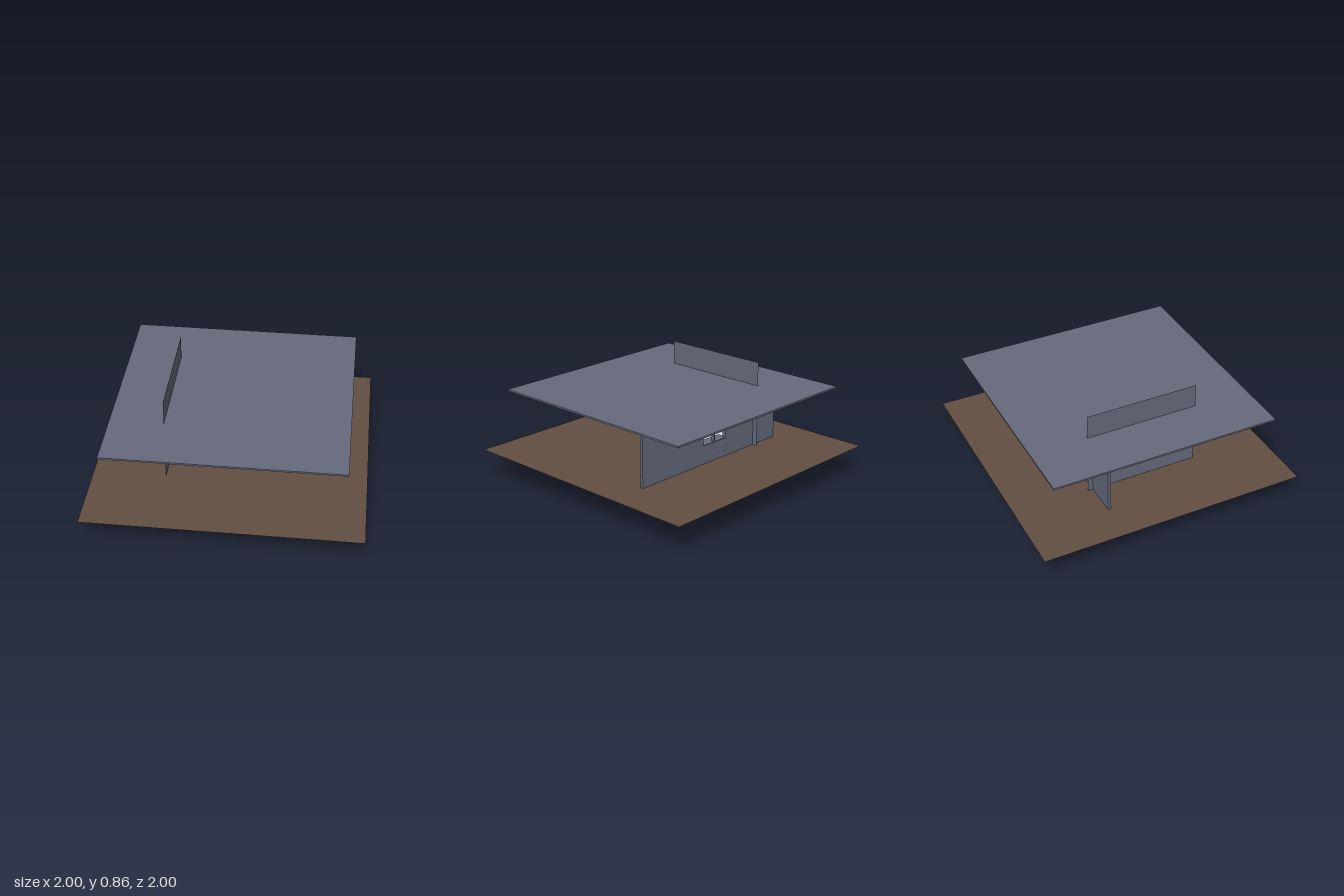
import * as THREE from 'three';
import { RoundedBoxGeometry } from 'three/addons/geometries/RoundedBoxGeometry.js';

const mat = (name, color, side = THREE.FrontSide) =>
  Object.assign(new THREE.MeshStandardMaterial({ color, side }), { name });

export function createModel() {
  const wall = mat('slate wall', 0x666a7c, THREE.DoubleSide);
  const ground = mat('floor brown', 0x624f42, THREE.DoubleSide);
  const wood = mat('wood', 0x6b4f3c);
  const linen = mat('linen', 0xd5dbe0);
  const blanketGrey = mat('blanket grey', 0x8a90a0);
  const white = mat('window white', 0xffffff);
  const skin = mat('skin', 0x6a4a36);
  const hairBrown = mat('hair', 0x46362b);
  const jacket = mat('jacket brown', 0x544236);

  const model = new THREE.Group();
  model.name = 'bedroom';

  const add = (parent, name, geometry, material, x = 0, y = 0, z = 0) => {
    const mesh = new THREE.Mesh(geometry, material);
    mesh.name = name;
    mesh.position.set(x, y, z);
    parent.add(mesh);
    return mesh;
  };
  // Box given by its limits, optionally with rounded edges
  const box = (parent, name, material, [x0, x1], [y0, y1], [z0, z1], radius = 0) => {
    const s = [x1 - x0, y1 - y0, z1 - z0];
    const geometry = radius ? new RoundedBoxGeometry(...s, 3, radius) : new THREE.BoxGeometry(...s);
    return add(parent, name, geometry, material, (x0 + x1) / 2, (y0 + y1) / 2, (z0 + z1) / 2);
  };
  const group = (name) => {
    const g = new THREE.Group();
    g.name = name;
    model.add(g);
    return g;
  };

  // Room shell
  add(model, 'floor', new THREE.PlaneGeometry(2, 2), ground, 0, 0.203, 0).rotation.x = -Math.PI / 2;
  box(model, 'ceiling', wall, [-0.857, 0.857], [0.663, 0.676], [-0.857, 0.857]);
  add(model, 'sideWall', new THREE.PlaneGeometry(0.857, 0.857), wall, -0.465, 0.4285, 0)
    .rotation.y = Math.PI / 2;

  // Back wall with a window opening
  const outline = new THREE.Shape();
  outline.moveTo(-0.713, 0.203).lineTo(0.713, 0.203).lineTo(0.713, 0.663).lineTo(-0.713, 0.663);
  const opening = new THREE.Path();
  opening.moveTo(-0.152, 0.342).lineTo(-0.152, 0.557).lineTo(0.09, 0.557).lineTo(0.09, 0.342);
  outline.holes.push(opening);
  const backWall = new THREE.ExtrudeGeometry(outline, { depth: 0.021, bevelEnabled: false });
  add(model, 'backWall', backWall, wall, 0, 0, -0.39);

  // Window
  const win = group('window');
  for (const [a, b] of [[-0.162, -0.15], [-0.035, -0.027], [0.088, 0.098]])
    box(win, 'upright', wall, [a, b], [0.337, 0.567], [-0.388, -0.361]);
  for (const [a, b] of [[0.337, 0.345], [0.449, 0.457], [0.556, 0.567]])
    box(win, 'crossbar', wall, [-0.162, 0.098], [a, b], [-0.387, -0.362]);
  box(win, 'sill', wall, [-0.168, 0.11], [0.334, 0.343], [-0.372, -0.303]);
  add(win, 'pane', new THREE.PlaneGeometry(0.242, 0.215), white, -0.031, 0.45, -0.38);

  // Thin streaks outside the window
  const streaks = group('rainStreaks');
  const spots = [[-0.07, 0.33], [-0.045, 0.3], [-0.02, 0.325], [0.01, 0.295], [0.035, 0.33],
    [0.07, 0.305], [-0.05, 0.635], [0.04, 0.62], [0, 0.53]];
  for (const [x, y] of spots)
    add(streaks, 'streak', new THREE.PlaneGeometry(0.003, 0.03), linen, x, y, -0.472)
      .rotation.y = Math.PI;

  // Bed
  const bed = group('bed');
  box(bed, 'bedBase', wood, [-0.44, -0.135], [0.203, 0.264], [-0.327, 0.16]);
  box(bed, 'mattress', linen, [-0.428, -0.147], [0.264, 0.298], [-0.315, 0.148], 0.012);
  box(bed, 'blanket', blanketGrey, [-0.435, -0.14], [0.296, 0.305], [-0.16, 0.152], 0.003);
  box(bed, 'pillow', linen, [-0.382, -0.2], [0.302, 0.328], [-0.308, -0.23], 0.012);

  // Nightstand
  box(model, 'nightstand', wood, [-0.125, -0.039], [0.203, 0.291], [-0.275, -0.204], 0.008);

  // Person sitting on the edge of the bed
  const person = group('person');
  const limb = (name, material, r, a, b) => {
    const from = new THREE.Vector3(...a), to = new THREE.Vector3(...b);
    const d = to.clone().sub(from);
    const mesh = add(person, name, new THREE.CapsuleGeometry(r, d.length(), 4, 12), material);
    mesh.position.copy(from).addScaledVector(d, 0.5);
    mesh.quaternion.setFromUnitVectors(new THREE.Vector3(0, 1, 0), d.normalize());
  };
  add(person, 'torso', new THREE.CapsuleGeometry(0.024, 0.045, 6, 16), jacket, -0.152, 0.345, 0);
  box(person, 'shirtFront', linen, [-0.167, -0.141], [0.31, 0.372], [0.019, 0.027], 0.003);
  limb('neck', skin, 0.01, [-0.152, 0.375, 0.005], [-0.152, 0.395, 0.008]);
  const head = add(person, 'head', new THREE.SphereGeometry(0.038, 24, 16), skin, -0.152, 0.428, 0.012);
  head.scale.y = 1.12;

  // Curly hair cap
  add(person, 'hairCap', new THREE.SphereGeometry(0.041, 24, 10, 0, Math.PI * 2, 0, 1.6),
    hairBrown, -0.152, 0.44, 0.008);
  for (const [count, radius, y] of [[12, 0.036, 0.452], [8, 0.024, 0.469], [1, 0, 0.475]])
    for (let i = 0; i < count; i++) {
      const t = (i / count) * Math.PI * 2;
      add(person, 'curl', new THREE.SphereGeometry(0.011, 10, 8), hairBrown,
        -0.152 + radius * Math.cos(t), y, 0.008 + radius * Math.sin(t));
    }
  for (const x of [-0.165, -0.139])
    add(person, 'eye', new THREE.SphereGeometry(0.005, 10, 8), white, x, 0.43, 0.046);

  // One hand raised to the cheek, the other arm resting forward
  limb('upperArm', jacket, 0.009, [-0.177, 0.37, 0], [-0.193, 0.352, 0.03]);
  limb('forearm', skin, 0.008, [-0.193, 0.352, 0.03], [-0.185, 0.405, 0.034]);
  limb('upperArm', jacket, 0.01, [-0.127, 0.37, 0], [-0.112, 0.325, -0.012]);
  limb('forearm', skin, 0.008, [-0.112, 0.325, -0.012], [-0.118, 0.32, 0.05]);

  // Legs hanging over the side of the bed
  for (const z of [0.02, 0.055]) {
    limb('thigh', jacket, 0.012, [-0.155, 0.312, z * 0.6], [-0.128, 0.308, z]);
    limb('shin', blanketGrey, 0.009, [-0.128, 0.305, z], [-0.126, 0.262, z]);
  }
  box(person, 'shoe', linen, [-0.138, -0.11], [0.244, 0.259], [0.044, 0.078], 0.005);
  box(person, 'shoe', linen, [-0.138, -0.11], [0.244, 0.259], [0.01, 0.032], 0.005);

  return model;
}
